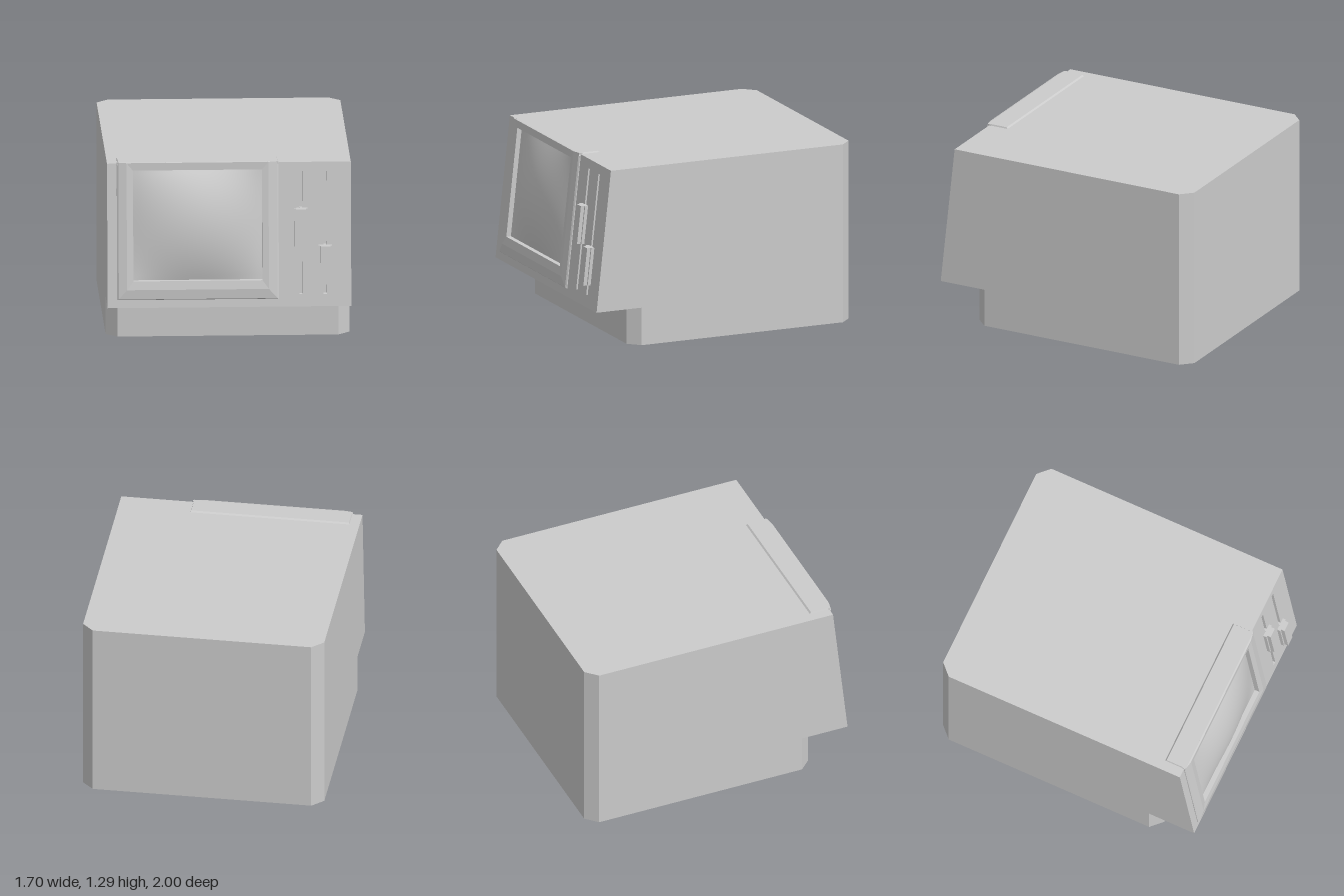
import * as THREE from 'three';

const material = new THREE.MeshStandardMaterial({ color: 0xcccccc });

// z of the leaning front face at height y
const frontZ = (y) => 0.965 - 0.109 * (y - 0.27);

// Move every vertex by a rule
function warp(geo, rule) {
  const p = geo.attributes.position;
  const v = new THREE.Vector3();
  for (let i = 0; i < p.count; i++) {
    rule(v.fromBufferAttribute(p, i));
    p.setXYZ(i, v.x, v.y, v.z);
  }
  geo.computeVertexNormals();
  return geo;
}

// Parts on the front are modelled flat (z = height above the face), then leaned
const lean = (geo) => warp(geo, (v) => { v.z += frontZ(v.y); });

function part(name, geo) {
  const mesh = new THREE.Mesh(geo, material);
  mesh.name = name;
  return mesh;
}

// Box from its limits
function box(x0, x1, y0, y1, z0, z1) {
  return new THREE.BoxGeometry(x1 - x0, y1 - y0, z1 - z0)
    .translate((x0 + x1) / 2, (y0 + y1) / 2, (z0 + z1) / 2);
}

// Vertical prism from a plan outline of [x, z] points
function prism(plan, y0, y1) {
  const shape = new THREE.Shape(plan.map(([x, z]) => new THREE.Vector2(x, -z)));
  return new THREE.ExtrudeGeometry(shape, { depth: y1 - y0, bevelEnabled: false })
    .rotateX(-Math.PI / 2).translate(0, y0, 0);
}

const corners = (x0, x1, y0, y1) => [[x0, y0], [x1, y0], [x1, y1], [x0, y1]];

function rectHole(x0, x1, y0, y1) {
  return new THREE.Path(corners(x0, x1, y0, y1).map(([x, y]) => new THREE.Vector2(x, y)));
}

// Skin between successive rectangles [x0, x1, y0, y1, height]
function rectLoft(rings) {
  const pos = [];
  const loops = rings.map(([x0, x1, y0, y1, w]) => corners(x0, x1, y0, y1).map(([x, y]) => [x, y, w]));
  for (let r = 0; r < loops.length - 1; r++) {
    for (let i = 0; i < 4; i++) {
      const j = (i + 1) % 4;
      const a = loops[r][i], b = loops[r][j], c = loops[r + 1][j], d = loops[r + 1][i];
      pos.push(...a, ...b, ...c, ...a, ...c, ...d);
    }
  }
  const geo = new THREE.BufferGeometry();
  geo.setAttribute('position', new THREE.Float32BufferAttribute(pos, 3));
  return geo;
}

export function createModel() {
  const model = new THREE.Group();
  model.name = 'monitor';
  const plate = 0.04;
  const back = [[0.85, -0.92], [0.77, -1], [-0.77, -1], [-0.85, -0.92]];

  // Foot, set back below the overhanging front, with all corners cut
  model.add(part('base', prism(
    [...back, [-0.85, 0.62], [-0.77, 0.7], [0.77, 0.7], [0.85, 0.62]], 0, 0.27)));

  // Main case with a leaning front
  model.add(part('case', warp(
    prism([...back, [-0.85, 0.9], [0.85, 0.9]], 0.27, 1.28),
    (v) => { if (v.z > 0.8) v.z = frontZ(v.y) - plate; })));

  // Front panel with a screen opening and two slider slots
  const sliders = [
    { x: 0.5, y0: 0.69, y1: 0.96 },
    { x: 0.668, y0: 0.433, y1: 0.7 },
  ];
  const panel = new THREE.Shape(
    corners(-0.85, 0.85, 0.27, 1.28).map(([x, y]) => new THREE.Vector2(x, y)));
  panel.holes.push(rectHole(-0.67, 0.23, 0.46, 1.235));
  for (const s of sliders) panel.holes.push(rectHole(s.x - 0.012, s.x + 0.012, 0.355, 1.215));
  model.add(part('frontPanel', lean(
    new THREE.ExtrudeGeometry(panel, { depth: plate, bevelEnabled: false }).translate(0, 0, -plate))));

  // Raised screen surround
  model.add(part('screenBezel', lean(rectLoft([
    [-0.783, 0.345, 0.327, 1.29, -0.01],
    [-0.783, 0.345, 0.327, 1.29, 0.006],
    [-0.772, 0.335, 0.333, 1.29, 0.014],
    [-0.715, 0.275, 0.4, 1.288, 0.025],
    [-0.67, 0.23, 0.46, 1.235, 0.02],
    [-0.67, 0.23, 0.46, 1.235, -0.03],
  ]))));

  // Lip of the surround running back over the top, bevelled at the rear and sides
  model.add(part('bezelTop', warp(box(-0.783, 0.345, 1.27, 1.29, 0.7, 0.868), (v) => {
    if (v.y > 1.28) {
      v.x += v.x < 0 ? 0.008 : -0.008;
      if (v.z < 0.8) v.z += 0.02;
    }
  })));

  // Bulging picture tube
  const w = 0.9, h = 0.775;
  model.add(part('screen', lean(warp(new THREE.PlaneGeometry(w, h, 24, 24), (v) => {
    const s = v.x / (w / 2), t = v.y / (h / 2);
    v.z = -0.015 + 0.075 * (1 - s * s) * (1 - t * t);
  }).translate(-0.22, 0.8475, 0))));

  // Slider knobs: stem in the slot, wide foot, narrower grip
  for (const { x, y0, y1 } of sliders) {
    const knob = new THREE.Group();
    knob.name = 'slider';
    knob.add(part('sliderStem', lean(box(x - 0.01, x + 0.01, y0, y1, -0.03, 0.005))));
    knob.add(part('sliderFoot', lean(box(x - 0.047, x + 0.047, y0, y1, 0.002, 0.025))));
    knob.add(part('sliderGrip', lean(box(x - 0.035, x + 0.035, y0, y1, 0.025, 0.052))));
    model.add(knob);
  }
  return model;
}
